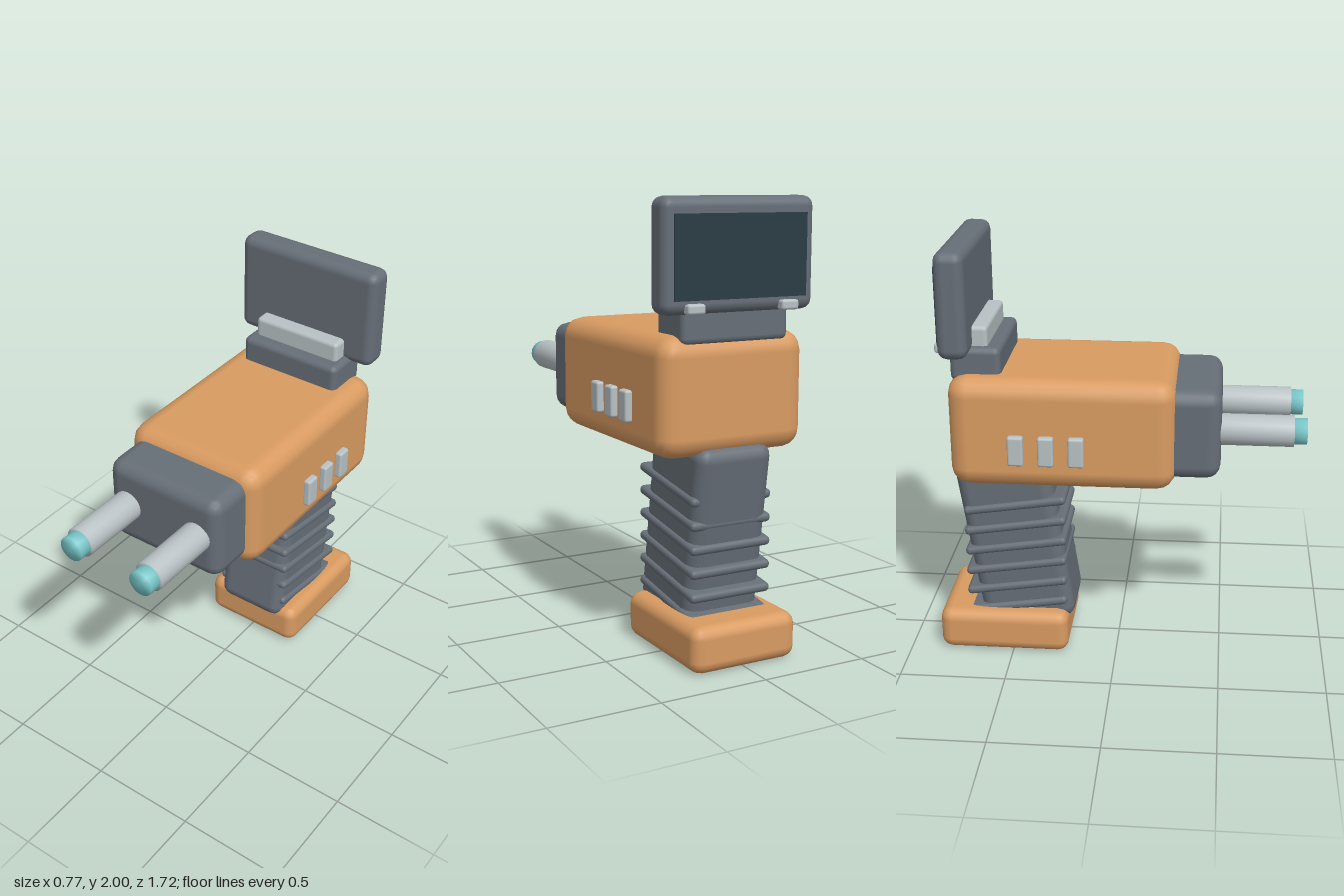
import * as THREE from 'three';
import { mergeVertices } from 'three/addons/utils/BufferGeometryUtils.js';
import { RoundedBoxGeometry } from 'three/addons/geometries/RoundedBoxGeometry.js';

const mat = (name, color) => {
  const m = new THREE.MeshStandardMaterial({ color });
  m.name = name;
  return m;
};

export function createModel() {
  const model = new THREE.Group();
  model.name = 'handheldScanner';
  const orange = mat('orange casing', 0xd99b61);
  const grey = mat('dark grey plastic', 0x666e77);
  const silver = mat('light grey metal', 0xb8c1c4);
  const cyan = mat('cyan emitter', 0x78c6c8);
  const glass = mat('dark screen glass', 0x2a3b44);

  const add = (name, geometry, material, x, y, z) => {
    const mesh = new THREE.Mesh(geometry, material);
    mesh.name = name;
    mesh.position.set(x, y, z);
    model.add(mesh);
    return mesh;
  };

  // Rounded block given by its half width and its y and z ranges
  const block = (name, material, hx, y0, y1, z0, z1, r, x = 0) =>
    add(name, new RoundedBoxGeometry(hx * 2, y1 - y0, z1 - z0, 2, r), material,
      x, (y0 + y1) / 2, (z0 + z1) / 2);

  // Forward-pointing rod with softly shaded ends
  const rod = (name, material, r, x, y, z0, z1) => {
    let g = new THREE.CylinderGeometry(r, r, z1 - z0, 20).rotateX(Math.PI / 2);
    g.deleteAttribute('normal');
    g.deleteAttribute('uv');
    g = mergeVertices(g);
    g.computeVertexNormals();
    return add(name, g, material, x, y, (z0 + z1) / 2);
  };

  // Main casing and nose
  block('body', orange, 0.355, 0.91, 1.43, -0.75, 0.28, 0.09);
  block('nose', grey, 0.305, 0.96, 1.38, 0.1, 0.48, 0.065);

  // Twin probes, side buttons and screen hinges, mirrored
  for (const s of [1, -1]) {
    rod('probe', silver, 0.072, s * 0.19, 1.175, 0.4, 0.805);
    rod('probeTip', cyan, 0.06, s * 0.19, 1.175, 0.78, 0.863);
    for (let i = 0; i < 3; i++) {
      const z = -0.165 - i * 0.136;
      block('sideButton', silver, 0.02, 1.04, 1.18, z - 0.036, z + 0.036, 0.012, s * 0.367);
    }
    block('screenHinge', silver, 0.042, 1.525, 1.568, -0.803, -0.755, 0.012, s * 0.227);
  }

  // Leaning grip
  const lean = -0.15;
  const grip = add('grip', new RoundedBoxGeometry(0.37, 0.866, 0.45, 2, 0.06), grey, 0, 0.55, -0.485);
  grip.rotation.x = lean;

  // Grip ribs, stacked straight up but tilted with the grip
  const ribGeometry = new RoundedBoxGeometry(0.4, 0.042, 0.49, 2, 0.02);
  for (let i = 0; i < 6; i++) {
    const rib = add('gripRib', ribGeometry, grey, 0, 0.222 + i * 0.106, -0.481);
    rib.rotation.x = lean;
  }

  // Battery foot
  block('foot', orange, 0.26, 0, 0.21, -0.855, -0.23, 0.055);

  // Display on its mount
  block('displayMount', grey, 0.26, 1.39, 1.55, -0.74, -0.51, 0.03);
  block('displayBracket', silver, 0.226, 1.5, 1.64, -0.7, -0.57, 0.02);
  block('display', grey, 0.368, 1.52, 2.0, -0.773, -0.638, 0.045);
  add('screen', new THREE.BoxGeometry(0.64, 0.35, 0.008), glass, 0, 1.755, -0.773);

  return model;
}
